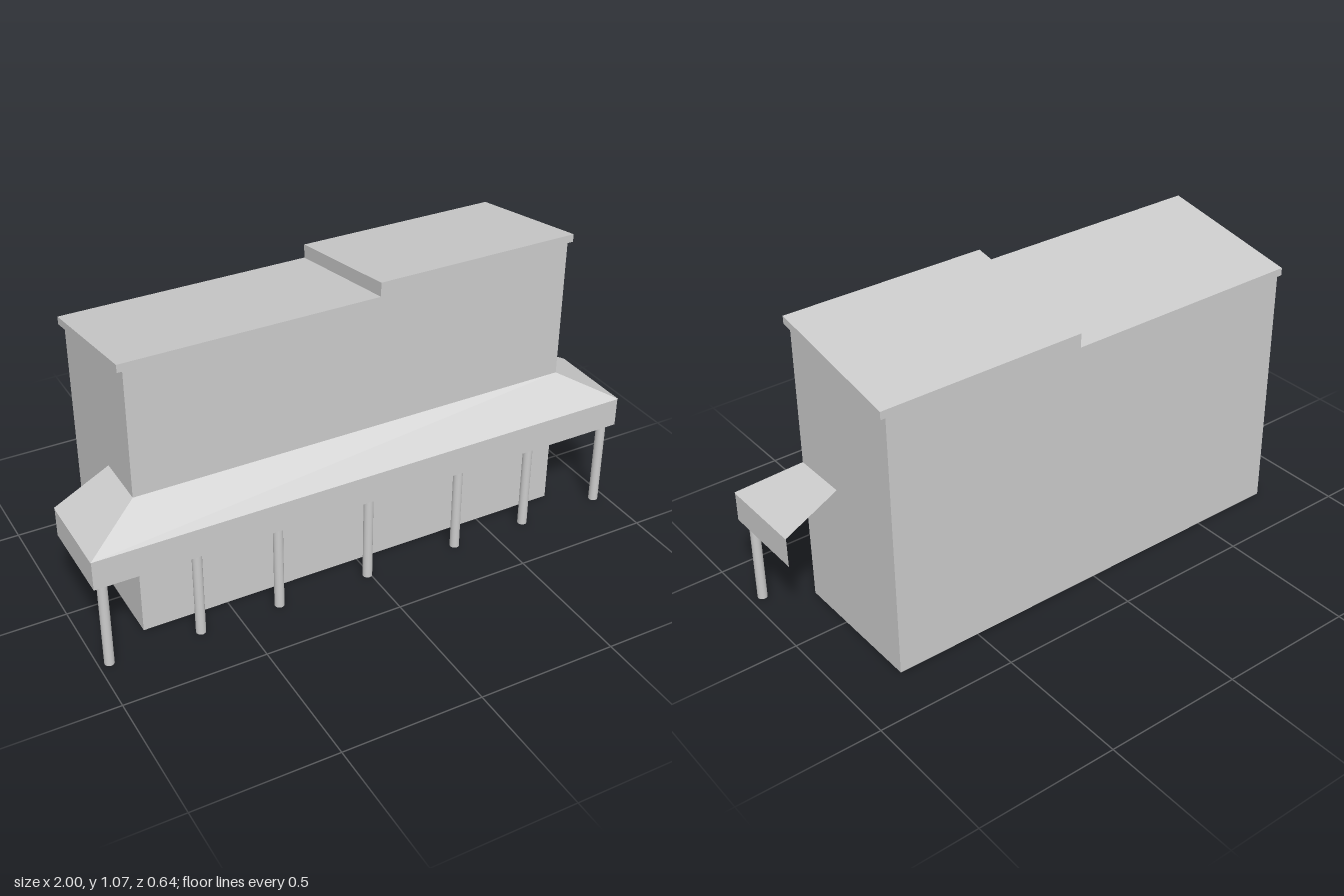
import * as THREE from 'three';

const FRONT = 0.2, BACK = -0.32, SLOPE = 0.173;
const mat = new THREE.MeshStandardMaterial({ color: 0xcccccc, flatShading: true });
const thinMat = new THREE.MeshStandardMaterial({ color: 0xcccccc, flatShading: true, side: THREE.DoubleSide });

function add(parent, name, geometry, material = mat) {
  const mesh = new THREE.Mesh(geometry, material);
  mesh.name = name;
  parent.add(mesh);
  return mesh;
}

// Front outline extruded to the back wall, its upper points falling with the roof pitch
function pitchedExtrude(points, front) {
  const shape = new THREE.Shape(points.map(([x, y]) => new THREE.Vector2(x, y)));
  const geo = new THREE.ExtrudeGeometry(shape, { depth: front - BACK, bevelEnabled: false });
  geo.translate(0, 0, BACK);
  const p = geo.attributes.position;
  for (let i = 0; i < p.count; i++) {
    if (p.getY(i) > 0.5) p.setY(i, p.getY(i) + SLOPE * (Math.min(p.getZ(i), FRONT) - FRONT));
  }
  geo.computeVertexNormals();
  return geo;
}

// Open strip between two paths with the same number of points
function strip(upper, lower) {
  const pos = [];
  for (let i = 0; i < upper.length - 1; i++) {
    const [a, b, c, d] = [lower[i], lower[i + 1], upper[i + 1], upper[i]];
    pos.push(...a, ...b, ...c, ...a, ...c, ...d);
  }
  const geo = new THREE.BufferGeometry();
  geo.setAttribute('position', new THREE.Float32BufferAttribute(pos, 3));
  geo.computeVertexNormals();
  return geo;
}

// U-shaped path around the front and both sides of the building
const around = (x, y, z) => [[-x, y, -0.005], [-x, y, z], [x, y, z], [x, y, -0.005]];

export function createModel() {
  const model = new THREE.Group();
  model.name = 'building';

  // Main block with a stepped top
  add(model, 'walls', pitchedExtrude([
    [-0.805, 0], [0.805, 0], [0.805, 1.045], [0.115, 1.045], [0.115, 0.995], [-0.805, 0.995],
  ], FRONT));

  // Stepped roof slab, overhanging the sides and slightly the front
  add(model, 'roof', pitchedExtrude([
    [-0.825, 0.995], [0.115, 0.995], [0.115, 1.045], [0.822, 1.045],
    [0.822, 1.073], [0.075, 1.073], [0.075, 1.023], [-0.825, 1.023],
  ], 0.207));

  // Hipped canopy wrapping round the front, with a deep fascia
  const canopy = new THREE.Group();
  canopy.name = 'canopy';
  model.add(canopy);
  add(canopy, 'canopyRoof', strip(around(0.805, 0.535, FRONT), around(1, 0.433, 0.322)), thinMat);
  add(canopy, 'canopyFascia', strip(around(0.998, 0.433, 0.32), around(0.998, 0.325, 0.32)), thinMat);

  // Row of round posts
  for (const x of [-0.963, -0.641, -0.351, -0.01, 0.346, 0.637, 0.956]) {
    const post = add(canopy, 'post', new THREE.CylinderGeometry(0.017, 0.017, 0.44, 16),
      new THREE.MeshStandardMaterial({ color: 0xcccccc }));
    post.position.set(x, 0.22, 0.295);
  }
  return model;
}
